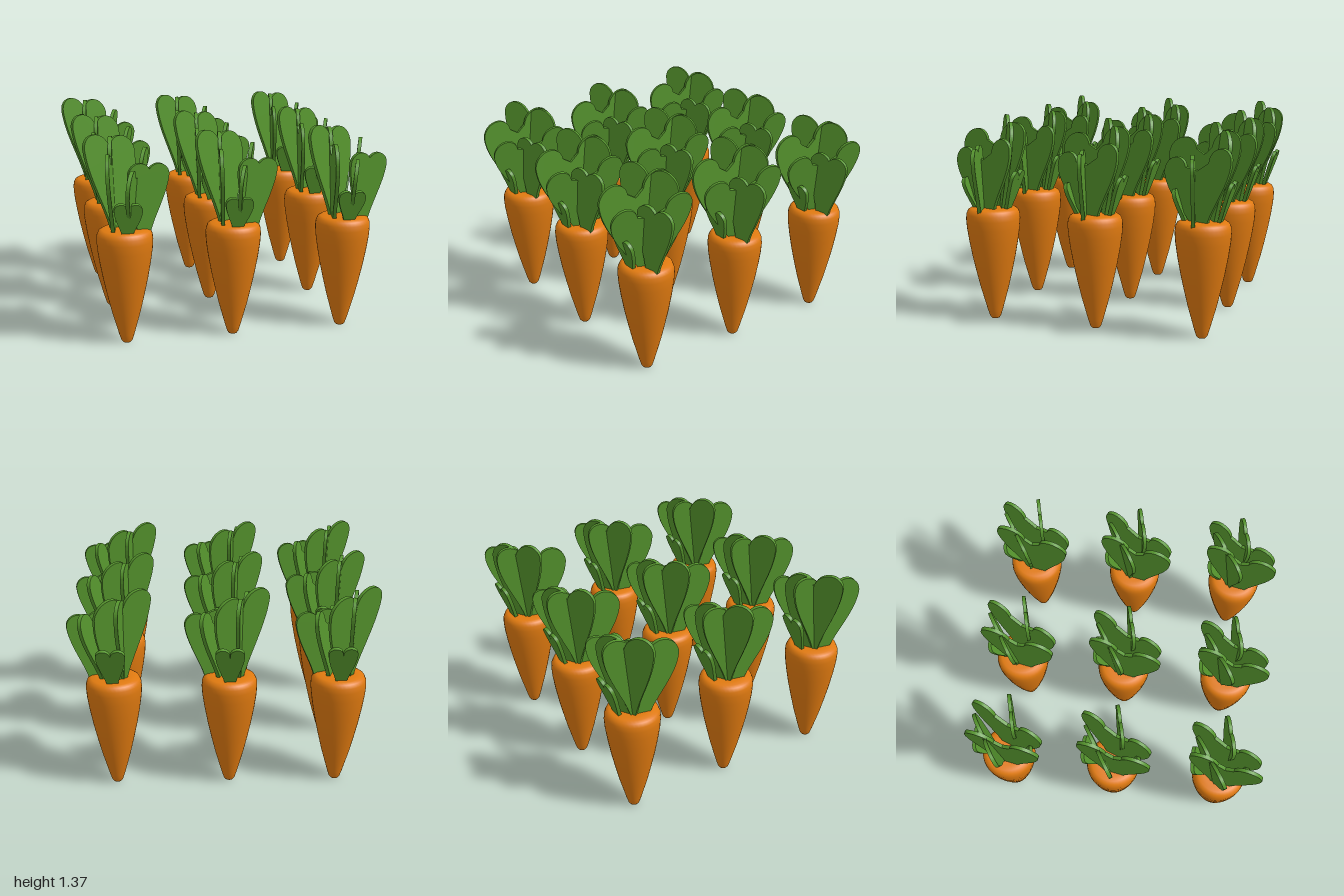
import * as THREE from 'three';

const THICK = 0.024;

// Two-lobed leaf stretched between its base and its two lobe centres
function leafGeometry({ base, a, b, r, foot }) {
  const B = new THREE.Vector3(...base);
  const A = new THREE.Vector3(...a);
  const C = new THREE.Vector3(...b);
  const u = C.clone().sub(A).multiplyScalar(0.5);          // half lobe spacing
  const v = A.clone().add(C).multiplyScalar(0.5).sub(B);   // base to leaf top
  const n = u.clone().cross(v).normalize();
  const rx = r / u.length(), ry = r / v.length(), f = foot / u.length();

  const s = new THREE.Shape();
  s.moveTo(-f, 0);
  s.bezierCurveTo(-f - 0.25, 0.3, -1 - rx * 0.95, 0.65, -1 - rx, 1);
  s.absellipse(-1, 1, rx, ry, Math.PI, 0.1, true);
  s.lineTo(0, 0.93);
  s.lineTo(1 - rx * Math.cos(0.1), 1 + ry * Math.sin(0.1));
  s.absellipse(1, 1, rx, ry, Math.PI - 0.1, 0, true);
  s.bezierCurveTo(1 + rx * 0.95, 0.65, f + 0.25, 0.3, f, 0);
  s.closePath();

  const geo = new THREE.ExtrudeGeometry(s, { depth: THICK, bevelEnabled: false, curveSegments: 14 });
  geo.translate(0, 0, -THICK / 2);
  return geo.applyMatrix4(new THREE.Matrix4().makeBasis(u, v, n).setPosition(B));
}

export function createModel() {
  const orange = new THREE.MeshStandardMaterial({ color: 0xe07a10 });
  orange.name = 'carrot orange';
  const green = new THREE.MeshStandardMaterial({ color: 0x55942d });
  green.name = 'leaf green';

  // Root: tapered body with a blunt tip and rounded shoulder
  const profile = [
    [0, 0], [0.026, 0], [0.036, 0.012], [0.05, 0.055], [0.068, 0.12], [0.093, 0.21],
    [0.119, 0.32], [0.143, 0.43], [0.163, 0.54], [0.176, 0.63], [0.18, 0.69],
    [0.177, 0.725], [0.166, 0.75], [0.145, 0.762], [0.11, 0.765], [0, 0.765],
  ].map(([x, y]) => new THREE.Vector2(x, y));
  const rootGeo = new THREE.LatheGeometry(profile, 40);

  const leaves = {
    tallBackLeaf: { base: [-0.03, 0.74, -0.05], a: [-0.16, 1.265, -0.035], b: [0.01, 1.235, -0.135], r: 0.1, foot: 0.06 },
    sideLeaf: { base: [-0.07, 0.74, 0.01], a: [-0.115, 1.175, 0.162], b: [-0.06, 1.23, -0.13], r: 0.097, foot: 0.06 },
    spreadLeaf: { base: [0.115, 0.74, 0.035], a: [0.09, 1.115, 0.05], b: [0.213, 1.105, 0.02], r: 0.075, foot: 0.045 },
    crossLeaf: { base: [0.05, 0.74, 0.01], a: [0.02, 1.08, 0.175], b: [0.15, 1.16, -0.14], r: 0.085, foot: 0.06 },
    smallFrontLeaf: { base: [0.0, 0.74, 0.11], a: [-0.043, 0.925, 0.165], b: [0.047, 0.92, 0.165], r: 0.045, foot: 0.03 },
    smallBackLeaf: { base: [0.0, 0.74, -0.1], a: [-0.043, 0.975, -0.18], b: [0.05, 0.975, -0.18], r: 0.046, foot: 0.03 },
  };
  const leafGeos = Object.entries(leaves).map(([name, spec]) => [name, leafGeometry(spec)]);

  // Three by three patch of carrots
  const model = new THREE.Group();
  model.name = 'carrotPatch';
  for (const z of [-0.735, -0.015, 0.708]) {
    for (const x of [-0.747, -0.04, 0.705]) {
      const carrot = new THREE.Group();
      carrot.name = 'carrot';
      const root = new THREE.Mesh(rootGeo, orange);
      root.name = 'root';
      carrot.add(root);
      for (const [name, geo] of leafGeos) {
        const leaf = new THREE.Mesh(geo, green);
        leaf.name = name;
        carrot.add(leaf);
      }
      carrot.position.set(x, 0, z);
      model.add(carrot);
    }
  }
  return model;
}
